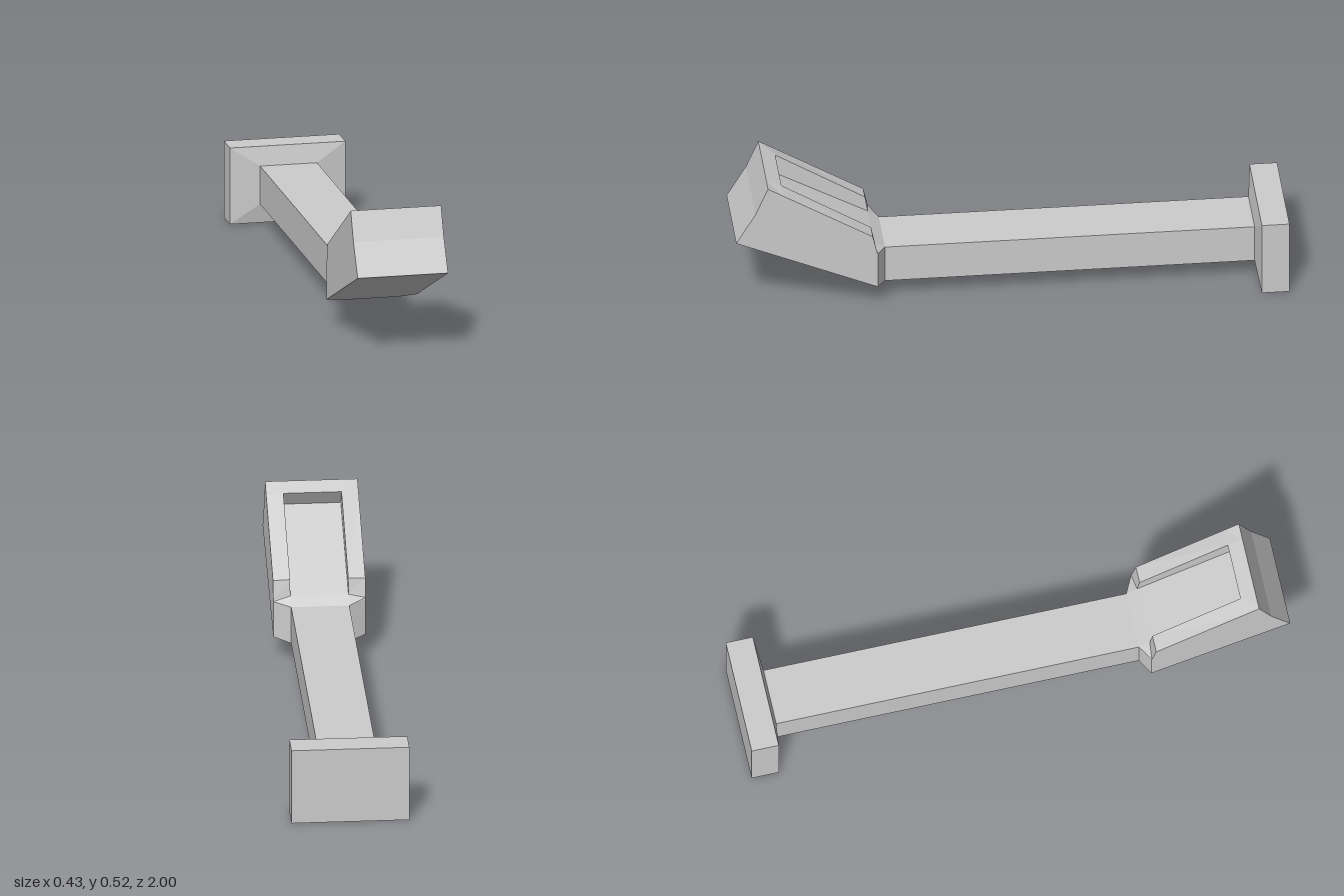
import * as THREE from 'three';

const grey = new THREE.MeshStandardMaterial({ color: 0xcccccc });
grey.name = 'plain grey';

function flatMesh(geometry, name) {
  const g = geometry.index ? geometry.toNonIndexed() : geometry;
  g.computeVertexNormals();
  const mesh = new THREE.Mesh(g, grey);
  mesh.name = name;
  return mesh;
}

// Box running along z whose back and front ends are [z, halfWidth, bottom, top]
function taperedBox(back, front, name) {
  const g = new THREE.BoxGeometry(2, 1, 1);
  const p = g.attributes.position;
  for (let i = 0; i < p.count; i++) {
    const [z, w, y0, y1] = p.getZ(i) > 0 ? front : back;
    p.setXYZ(i, Math.sign(p.getX(i)) * w, p.getY(i) > 0 ? y1 : y0, z);
  }
  return flatMesh(g, name);
}

// Solid between two side profiles of [z, y] points, at xA < xB
function prism(a, xA, b, xB, name, caps = true) {
  const pos = [];
  const put = (x, ...pts) => pts.forEach(([z, y]) => pos.push(x, y, z));
  a.forEach((ai, i) => {
    const j = (i + 1) % a.length;
    put(xA, ai); put(xB, b[i], b[j]);
    put(xA, ai); put(xB, b[j]); put(xA, a[j]);
  });
  const cap = (loop, x, flip) => {
    const pts = loop.map(([z, y]) => new THREE.Vector2(z, y));
    for (const t of THREE.ShapeUtils.triangulateShape(pts, [])) {
      const ccw = THREE.ShapeUtils.area(t.map(k => pts[k])) > 0;
      const tri = t.map(k => loop[k]);
      put(x, ...(ccw === flip ? tri.reverse() : tri));
    }
  };
  if (caps) {
    cap(a, xA, false);
    cap(b, xB, true);
  }
  const g = new THREE.BufferGeometry();
  g.setAttribute('position', new THREE.Float32BufferAttribute(pos, 3));
  return flatMesh(g, name);
}

export function createModel() {
  const model = new THREE.Group();
  model.name = 'scoop';
  const inX = 0.105, outX = 0.167;

  // End plate, its bevel and the long handle
  const plate = [0.213, 0, 0.285], bar = [inX, 0.073, 0.215];
  model.add(
    taperedBox([-1, ...plate], [-0.9, ...plate], 'endPlate'),
    taperedBox([-0.9, ...plate], [-0.885, ...bar], 'endPlateBevel'),
    taperedBox([-0.885, ...bar], [0.455, ...bar], 'handle'),
  );

  // Scoop: floor and front wall in the middle, flared side walls either side
  const nose = [[1, 0.303], [0.93, 0.42], [0.885, 0.525]];
  const middle = [[0.455, 0.073], ...nose, [0.83, 0.5], [0.864, 0.443], [0.495, 0.242], [0.455, 0.215]];
  const inner = [[0.455, 0.073], ...nose, [0.83, 0.5], [0.505, 0.302], [0.495, 0.242], [0.455, 0.215]];
  const outer = [[0.487, 0.087], ...nose, [0.83, 0.4925], [0.505, 0.3], [0.489, 0.23], [0.487, 0.225]];
  model.add(
    prism(middle, -inX, middle, inX, 'scoopFloor', false),
    prism(inner, inX, outer, outX, 'leftScoopWall'),
    prism(outer, -outX, inner, -inX, 'rightScoopWall'),
  );
  return model;
}
